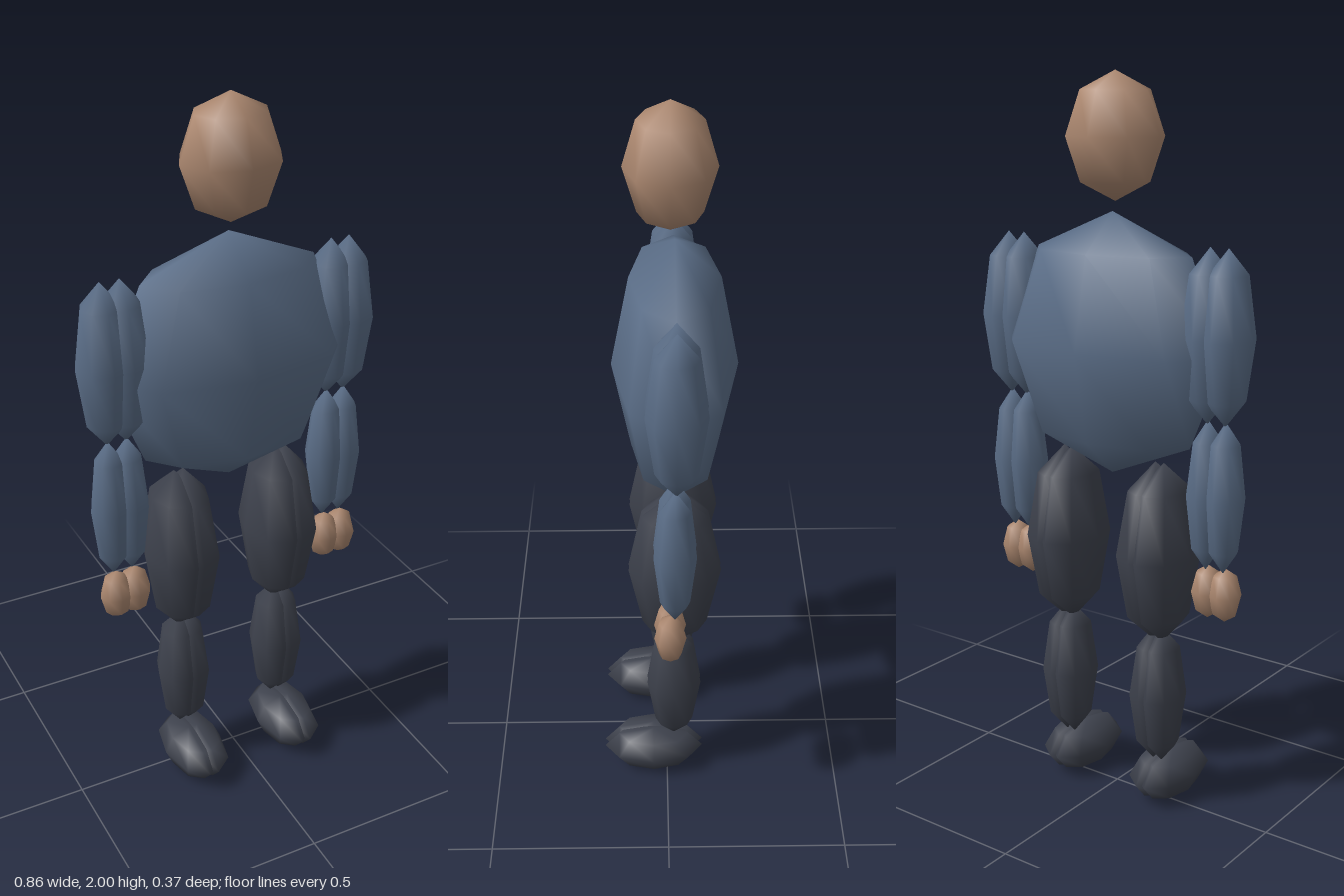
import * as THREE from 'three';

export function createModel() {
  const model = new THREE.Group();
  model.name = 'figure';

  const material = (name, color) => {
    const m = new THREE.MeshStandardMaterial({ color });
    m.name = name;
    return m;
  };
  const skin = material('skin', 0xac8870);
  const shirt = material('blue shirt', 0x5b6e88);
  const trousers = material('dark trousers', 0x3e424d);

  // Every part is a coarse, smooth-shaded ellipsoid
  const ellipsoid = (name, mat, [x, y, z], [rx, ry, rz], parent = model) => {
    const geometry = new THREE.SphereGeometry(1, 8, 4).scale(rx, ry, rz);
    const mesh = new THREE.Mesh(geometry, mat);
    mesh.name = name;
    mesh.position.set(x, y, z);
    parent.add(mesh);
  };

  ellipsoid('head', skin, [0, 1.835, -0.01], [0.14, 0.165, 0.118]);
  ellipsoid('torso', shirt, [0, 1.292, -0.022], [0.354, 0.353, 0.167]);

  // Limb parts: name, material, centre height, centre depth, radii
  const armParts = [
    ['UpperArm', shirt, 1.345, -0.021, [0.075, 0.228, 0.078]],
    ['Forearm', shirt, 0.925, -0.018, [0.056, 0.205, 0.056]],
    ['Hand', skin, 0.656, -0.006, [0.047, 0.075, 0.043]],
  ];
  const legParts = [
    ['Thigh', trousers, 0.737, -0.021, [0.092, 0.255, 0.127]],
    ['Shin', trousers, 0.323, -0.02, [0.064, 0.2, 0.077]],
    ['Foot', trousers, 0.069, 0.04, [0.075, 0.069, 0.145]],
  ];

  // Each limb part is a pair of overlapping ellipsoids side by side
  for (const [side, s] of [['left', 1], ['right', -1]]) {
    for (const [limb, parts, inner, outer] of [
      ['Arm', armParts, 0.303, 0.357],
      ['Leg', legParts, 0.141, 0.168],
    ]) {
      const group = new THREE.Group();
      group.name = side + limb;
      model.add(group);
      for (const [name, mat, y, z, radii] of parts) {
        ellipsoid(`${side}${name}Inner`, mat, [s * inner, y, z], radii, group);
        ellipsoid(`${side}${name}Outer`, mat, [s * outer, y, z], radii, group);
      }
    }
  }
  return model;
}
